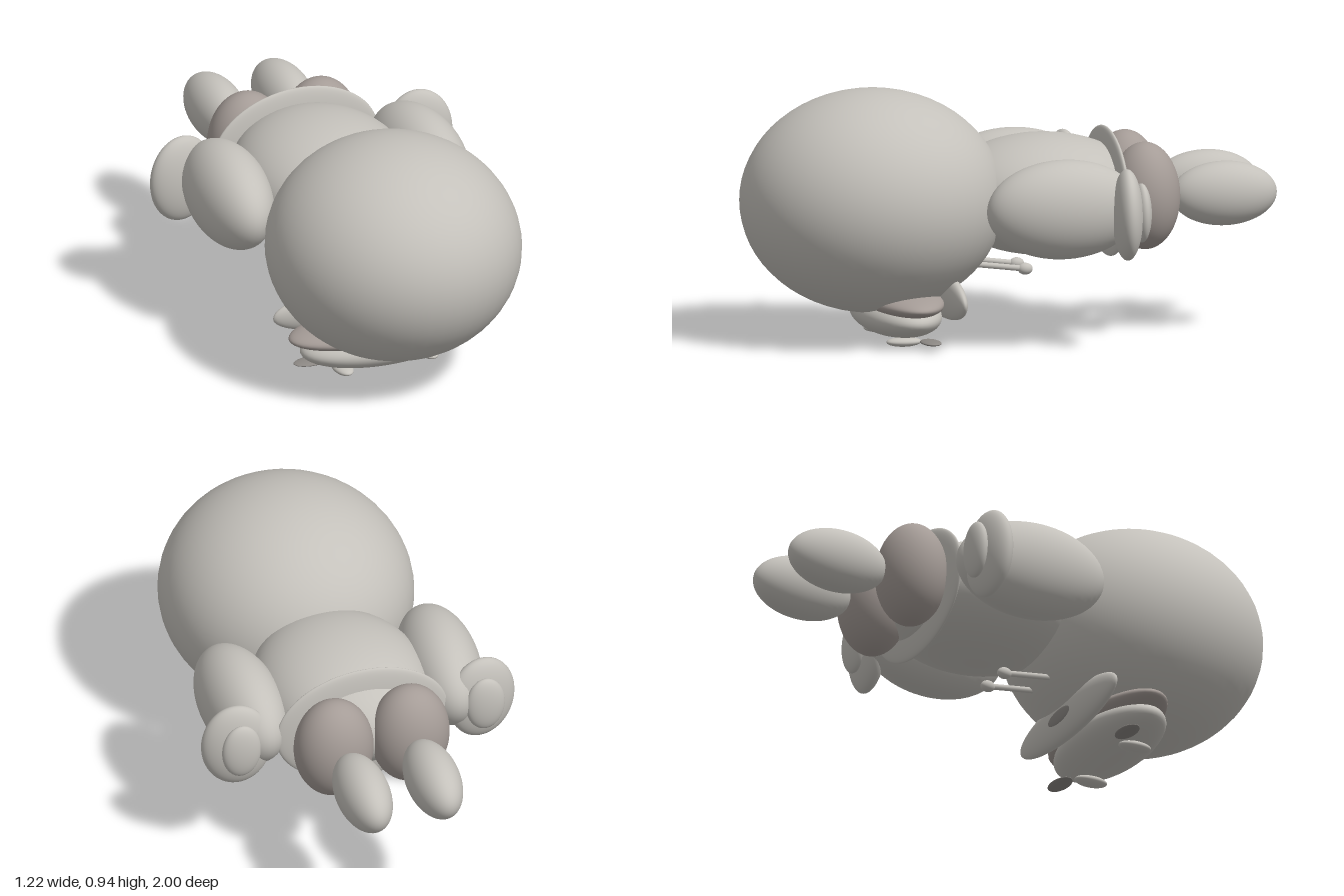
import * as THREE from 'three';

export function createModel() {
  const group = new THREE.Group();
  const paleGrey = new THREE.MeshStandardMaterial({ color: 0xc4c1bb });
  const warmGrey = new THREE.MeshStandardMaterial({ color: 0xa59c97 });
  const darkGrey = new THREE.MeshStandardMaterial({ color: 0x8c8884 });
  paleGrey.name = 'paleGrey';
  warmGrey.name = 'warmGrey';
  darkGrey.name = 'darkGrey';

  const ball = new THREE.SphereGeometry(1, 48, 32);

  // Ellipsoid from a centre and three radii
  function ellipsoid(name, material, centre, radii, rotation = [0, 0, 0]) {
    const mesh = new THREE.Mesh(ball, material);
    mesh.name = name;
    mesh.position.set(...centre);
    mesh.scale.set(...radii);
    mesh.rotation.set(...rotation);
    group.add(mesh);
    return mesh;
  }

  // Head, torso and waist disc, laid out along z
  ellipsoid('head', paleGrey, [0, 0.525, 0.508], [0.473, 0.415, 0.492]);
  ellipsoid('torso', paleGrey, [0, 0.525, -0.14], [0.33, 0.225, 0.387]);
  ellipsoid('waistDisc', paleGrey, [0, 0.525, -0.385], [0.335, 0.24, 0.032]);

  // Face on the underside of the head
  ellipsoid('upperMuzzle', warmGrey, [0, 0.157, 0.41], [0.375, 0.055, 0.15]);
  ellipsoid('lowerMuzzle', paleGrey, [0, 0.102, 0.418], [0.332, 0.082, 0.156]);
  ellipsoid('chin', paleGrey, [0, 0.175, 0.246], [0.37, 0.095, 0.044], [0.08, 0, 0]);
  ellipsoid('mouth', darkGrey, [0, 0.168, 0.208], [0.1, 0.033, 0.009], [0.08, 0, 0]);

  for (const [side, s] of [['left', 1], ['right', -1]]) {
    // Limbs
    ellipsoid(side + 'Arm', paleGrey, [s * 0.387, 0.525, -0.125], [0.147, 0.185, 0.294], [0, s * 0.06, 0]);
    ellipsoid(side + 'Hand', paleGrey, [s * 0.477, 0.51, -0.345], [0.133, 0.17, 0.056], [0, s * -0.12, 0]);
    ellipsoid(side + 'Palm', paleGrey, [s * 0.475, 0.515, -0.4], [0.075, 0.11, 0.034]);
    ellipsoid(side + 'Thigh', warmGrey, [s * 0.148, 0.525, -0.495], [0.15, 0.2, 0.13]);
    ellipsoid(side + 'Foot', paleGrey, [s * 0.137, 0.52, -0.8], [0.098, 0.12, 0.2]);

    // Small face details
    ellipsoid(side + 'Eye', paleGrey, [s * 0.172, 0.018, 0.43], [0.036, 0.018, 0.066]);
    ellipsoid(side + 'Cheek', darkGrey, [s * 0.262, 0.026, 0.35], [0.07, 0.009, 0.037]);

    // Thin feeler with a bead at its end
    const path = new THREE.LineCurve3(
      new THREE.Vector3(s * 0.065, 0.282, 0.15),
      new THREE.Vector3(s * 0.065, 0.255, -0.06));
    const feeler = new THREE.Mesh(new THREE.TubeGeometry(path, 1, 0.011, 12), paleGrey);
    feeler.name = side + 'Feeler';
    group.add(feeler);
    ellipsoid(side + 'FeelerBead', paleGrey, [s * 0.065, 0.255, -0.06], [0.022, 0.022, 0.028]);
  }

  return group;
}
